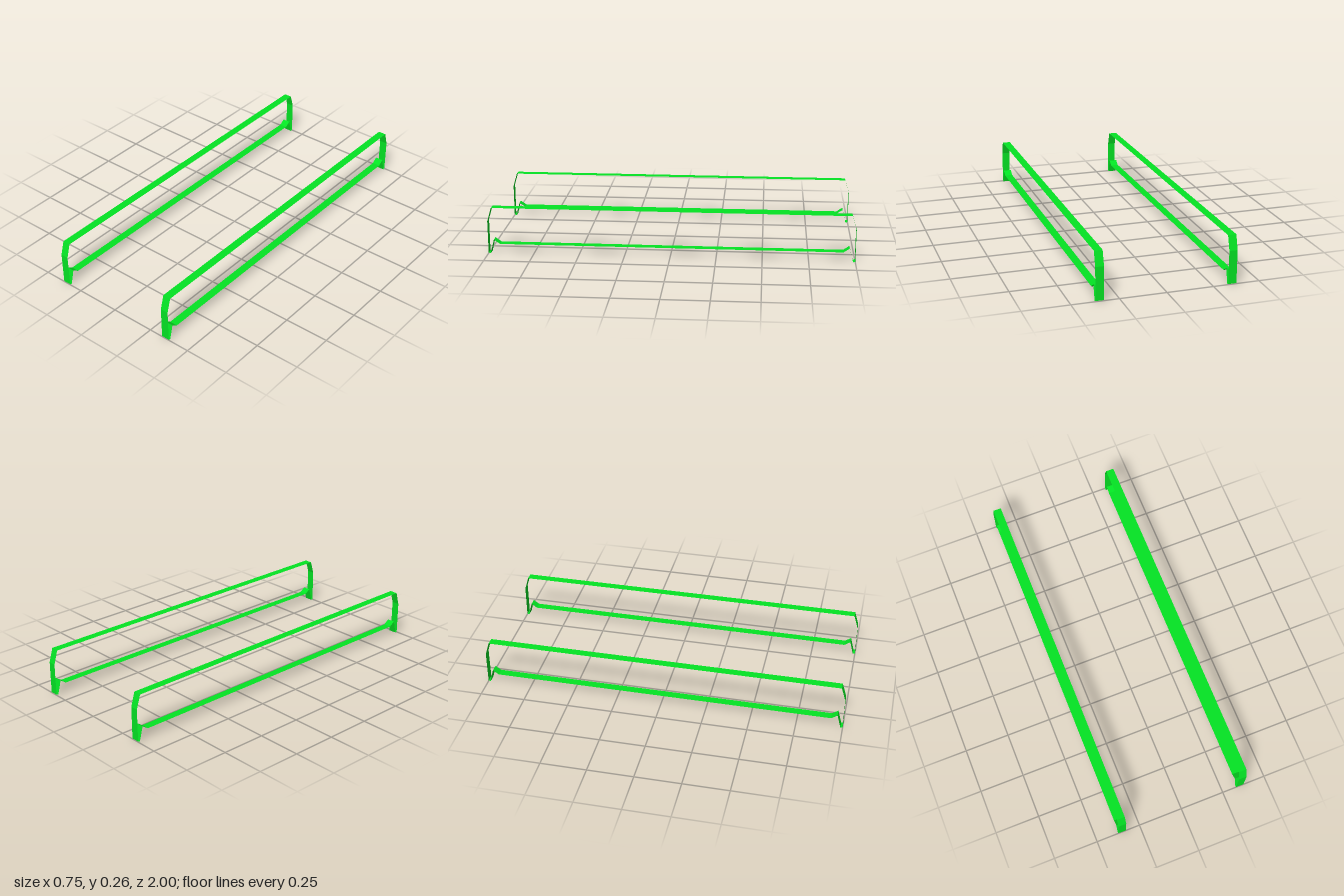
import * as THREE from 'three';

// Half of the side outline as [z, y]; the other half is mirrored in z.
const HALF = [[0.935, 0.055], [0.968, 0.078], [0.988, 0], [1, 0.003], [1, 0.183], [0.977, 0.26]];
const WIDTH = 0.045;

// Flat ribbon of the given width following the closed outline, open at the sides.
function ribbonGeometry(points, width) {
  const positions = [];
  const h = width / 2;
  points.forEach(([z0, y0], i) => {
    const [z1, y1] = points[(i + 1) % points.length];
    positions.push(
      -h, y0, z0, h, y0, z0, h, y1, z1,
      -h, y0, z0, h, y1, z1, -h, y1, z1,
    );
  });
  const geometry = new THREE.BufferGeometry();
  geometry.setAttribute('position', new THREE.Float32BufferAttribute(positions, 3));
  geometry.computeVertexNormals();
  return geometry;
}

export function createModel() {
  const model = new THREE.Group();
  model.name = 'sideRails';
  const material = new THREE.MeshStandardMaterial({
    color: 0x04e424, flatShading: true, side: THREE.DoubleSide,
  });

  const mirrored = HALF.map(([z, y]) => [-z, y]).reverse();
  const geometry = ribbonGeometry([...HALF, ...mirrored], WIDTH);

  // One looped rail on each side
  for (const [name, side] of [['leftRail', 1], ['rightRail', -1]]) {
    const rail = new THREE.Mesh(geometry, material);
    rail.name = name;
    rail.position.x = side * (0.375 - WIDTH / 2);
    model.add(rail);
  }
  return model;
}
